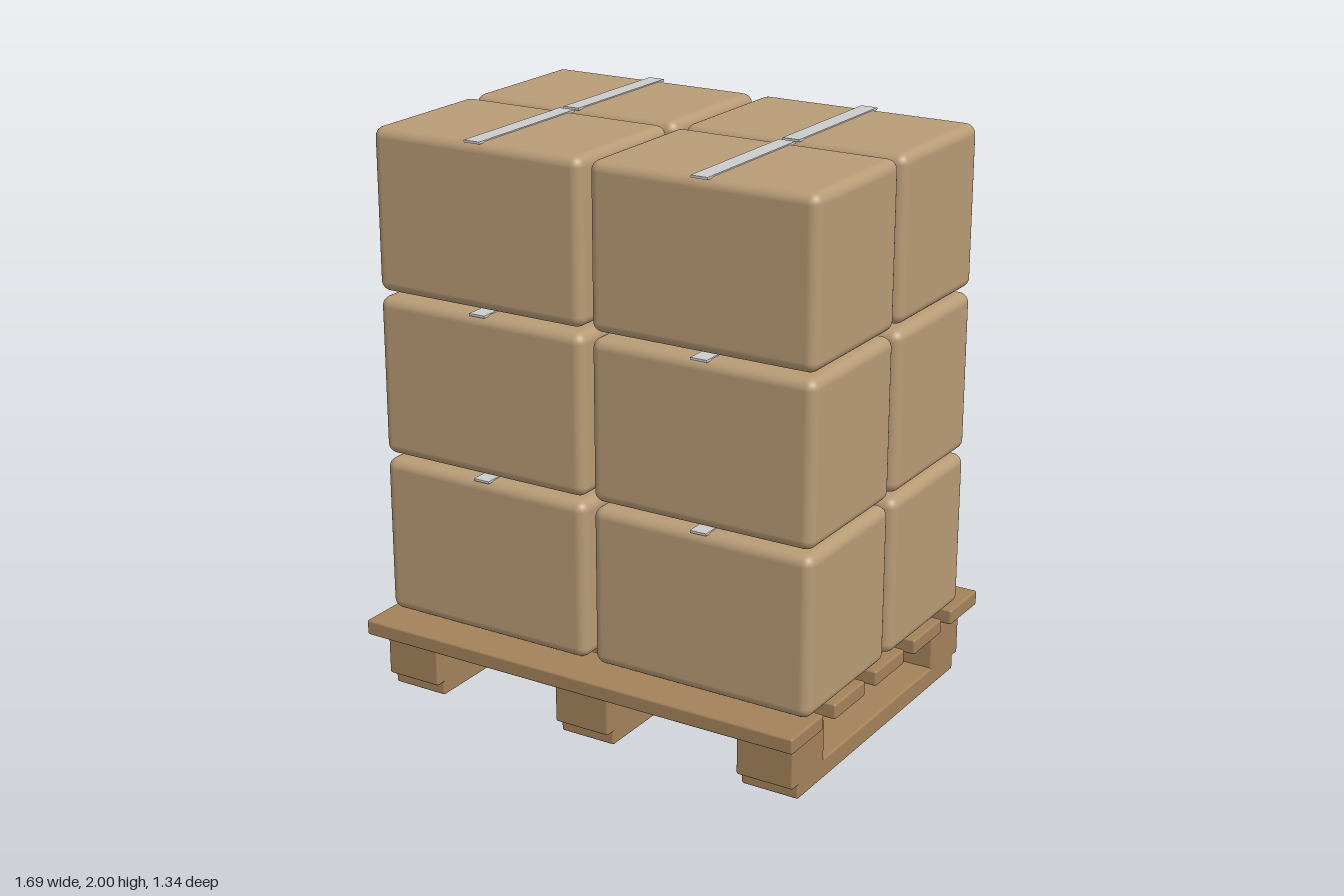
import * as THREE from 'three';
import { RoundedBoxGeometry } from 'three/addons/geometries/RoundedBoxGeometry.js';

const wood = new THREE.MeshStandardMaterial({ color: 0xa4825a });
const card = new THREE.MeshStandardMaterial({ color: 0xb89b76 });
const grey = new THREE.MeshStandardMaterial({ color: 0xcccccc });

function add(parent, name, geometry, material, x, y, z) {
  const mesh = new THREE.Mesh(geometry, material);
  mesh.name = name;
  mesh.position.set(x, y, z);
  parent.add(mesh);
}

function createPallet() {
  const pallet = new THREE.Group();
  pallet.name = 'pallet';
  const board = new RoundedBoxGeometry(1.69, 0.055, 0.208, 2, 0.008);
  const runner = new RoundedBoxGeometry(0.21, 0.07, 1.13, 2, 0.008);
  const block = new RoundedBoxGeometry(0.21, 0.165, 0.208, 2, 0.008);

  // Five deck boards across the top
  for (let i = -2; i <= 2; i++) add(pallet, 'deckBoard', board, wood, 0, 0.244, i * 0.284);

  // Three runners, each with a block at either end
  for (const x of [-0.705, 0, 0.705]) {
    add(pallet, 'runner', runner, wood, x, 0.035, 0);
    for (const z of [-0.497, 0.497]) add(pallet, 'block', block, wood, x, 0.132, z);
  }
  return pallet;
}

function createCartons() {
  const cartons = new THREE.Group();
  cartons.name = 'cartons';
  const box = new RoundedBoxGeometry(0.816, 0.562, 0.535, 4, 0.036);
  const tape = new THREE.BoxGeometry(0.06, 0.008, 0.54);

  // Three layers of two by two, each carton with a tape strip on top
  for (let layer = 0; layer < 3; layer++) {
    for (const sx of [-1, 1]) {
      for (const sz of [-1, 1]) {
        const carton = new THREE.Group();
        carton.name = 'carton';
        carton.position.set(sx * 0.424, 0.555 + layer * 0.58, sz * 0.282);
        add(carton, 'cartonBody', box, card, 0, 0, 0);
        add(carton, 'tapeStrip', tape, grey, 0, 0.281, 0);
        cartons.add(carton);
      }
    }
  }
  return cartons;
}

export function createModel() {
  const model = new THREE.Group();
  model.name = 'loadedPallet';
  model.add(createPallet(), createCartons());
  return model;
}
